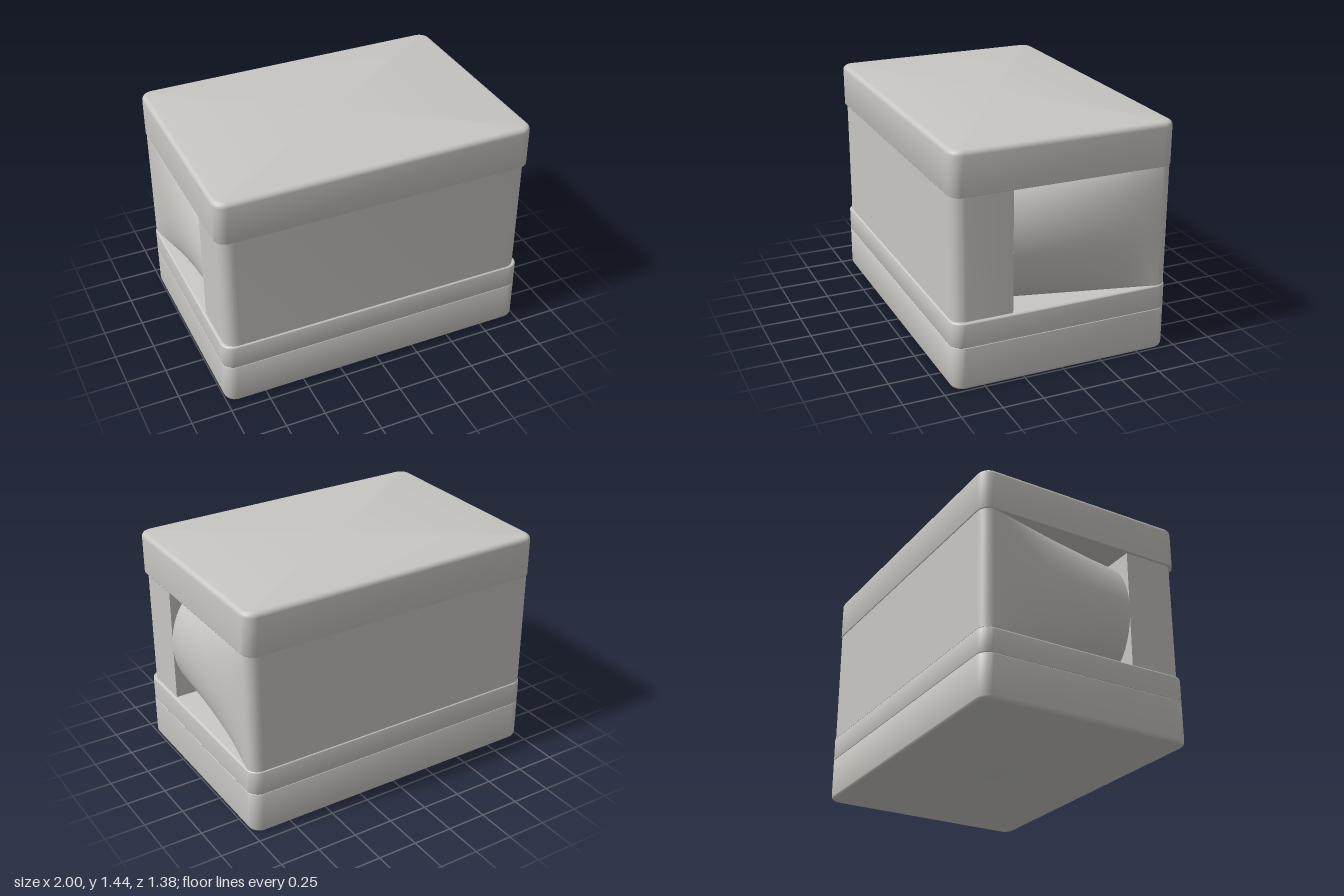
import * as THREE from 'three';
import { toCreasedNormals } from 'three/addons/utils/BufferGeometryUtils.js';

const grey = new THREE.MeshStandardMaterial({ color: 0xc8c6c2 });
grey.name = 'warm grey';
const greySheet = new THREE.MeshStandardMaterial({ color: 0xc8c6c2, side: THREE.DoubleSide });
greySheet.name = 'warm grey sheet';

// Rounded rectangle outline as [x, z] points, running from +x towards +z
function outline(hx, hz, r) {
  const pts = [];
  const corners = [[1, 1], [-1, 1], [-1, -1], [1, -1]];
  corners.forEach(([sx, sz], c) => {
    for (let i = 0; i <= 6; i++) {
      const a = (c + i / 6) * Math.PI / 2;
      pts.push([sx * (hx - r) + r * Math.cos(a), sz * (hz - r) + r * Math.sin(a)]);
    }
  });
  return pts;
}

// Rectangular grid of points joined into quads
function grid(rows) {
  const pos = [], index = [], n = rows[0].length;
  rows.forEach(row => row.forEach(p => pos.push(...p)));
  for (let j = 0; j < rows.length - 1; j++) {
    for (let i = 0; i < n - 1; i++) {
      const a = j * n + i, b = a + 1, c = a + n, d = c + 1;
      index.push(a, c, b, b, c, d);
    }
  }
  const g = new THREE.BufferGeometry();
  g.setAttribute('position', new THREE.Float32BufferAttribute(pos, 3));
  g.setIndex(index);
  g.computeVertexNormals();
  return g;
}

// Slab with rounded corners and rounded bottom and top rims
function slab(hx, hz, y0, y1, bottom, top) {
  const levels = [];
  const rim = (r, y, dir, steps) => {
    for (let i = 0; i <= steps; i++) {
      const a = i / steps * Math.PI / 2;
      const t = dir < 0 ? a : Math.PI / 2 - a;
      levels.push([r * (1 - Math.sin(t)), y + dir * r * Math.cos(t)]);
    }
  };
  rim(bottom, y0 + bottom, -1, 5);
  rim(top, y1 - top, 1, 5);
  const rows = levels.map(([inset, y]) => {
    const ring = outline(hx - inset, hz - inset, 0.075 - inset).map(([x, z]) => [x, y, z]);
    return [...ring, ring[0]];
  });
  const cap = y => rows[0].map(() => [0, y, 0]);
  const g = grid([cap(y0), ...rows, cap(y1)]);
  return toCreasedNormals(g, 0.7);
}

// Bulging side panel: upright at the rear corner, arched at its front edge
function sidePanel(s) {
  const yMid = 0.8, half = 0.375, sweep = 1.3, steps = 20;
  const rows = [];
  for (let j = 0; j <= steps; j++) {
    const a = (j / steps * 2 - 1) * sweep;
    const y = yMid + half * Math.sin(a) / Math.sin(sweep);
    const recess = 0.22 * (1 - Math.cos(a)) / (1 - Math.cos(sweep));
    const row = [];
    for (let i = 0; i <= 6; i++) {
      const c = i / 6 * Math.PI / 2;
      row.push([s * (0.925 + 0.07 * Math.sin(c)), y, -0.615 - 0.07 * Math.cos(c)]);
    }
    for (let i = 1; i <= 10; i++) {
      const t = i / 10;
      row.push([s * (0.995 - t * (0.01 + recess)), y, -0.615 + t * 0.935]);
    }
    rows.push(s > 0 ? row.reverse() : row);
  }
  return grid(rows);
}

// Front body block with rounded front corners
function frontBlock() {
  const w = 0.983, r = 0.08;
  const sh = new THREE.Shape();
  sh.moveTo(-w, -0.32);
  sh.lineTo(-w, -0.68 + r);
  sh.absarc(-w + r, -0.68 + r, r, Math.PI, Math.PI * 1.5, false);
  sh.absarc(w - r, -0.68 + r, r, Math.PI * 1.5, Math.PI * 2, false);
  sh.lineTo(w, -0.32);
  sh.closePath();
  const g = new THREE.ExtrudeGeometry(sh, { depth: 0.75, bevelEnabled: false, curveSegments: 8 });
  g.rotateX(-Math.PI / 2);
  g.translate(0, 0.425, 0);
  return toCreasedNormals(g, 0.7);
}

export function createModel() {
  const model = new THREE.Group();
  model.name = 'storageBox';
  const add = (name, geometry, material = grey) => {
    const m = new THREE.Mesh(geometry, material);
    m.name = name;
    model.add(m);
    return m;
  };

  // Stacked slabs
  add('base', slab(1, 0.69, 0, 0.27, 0.03, 0.004));
  add('belt', slab(1, 0.69, 0.27, 0.425, 0.004, 0.012));
  add('lid', slab(1, 0.69, 1.175, 1.44, 0.004, 0.03));

  // Body between belt and lid
  add('frontBody', frontBlock());
  add('backPanel', new THREE.BoxGeometry(1.85, 0.75, 0.008)).position.set(0, 0.8, -0.681);
  for (const s of [1, -1]) add(s > 0 ? 'leftSidePanel' : 'rightSidePanel', sidePanel(s), greySheet);

  return model;
}
